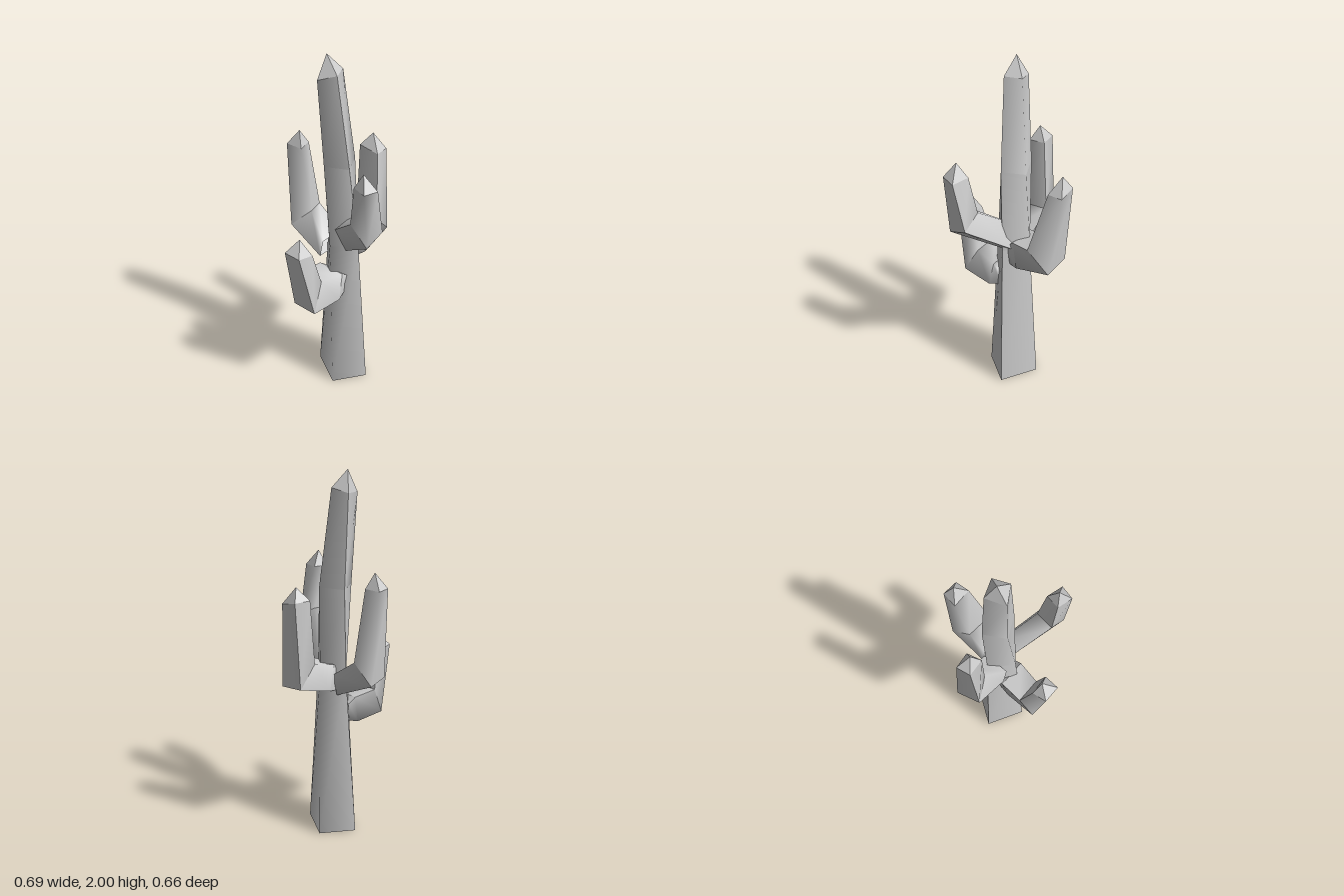
import * as THREE from 'three';

const material = new THREE.MeshStandardMaterial({ color: 0xcccccc, side: THREE.DoubleSide });

// Four-cornered stem lofted through rings, closed by a pointed flat-faced tip.
// Ring corners run anticlockwise about the growing direction; corners 0 and 2 stay sharp.
function stem(name, rings, tip, closeBase = false) {
  const group = new THREE.Group();
  group.name = name;
  const positions = [], index = [];
  const add = (p) => positions.push(...p) / 3 - 1;
  for (let k = 0; k < rings.length - 1; k++) {
    for (const start of [0, 2]) {
      const low = [], high = [];
      for (let j = 0; j < 3; j++) {
        low.push(add(rings[k][(start + j) % 4]));
        high.push(add(rings[k + 1][(start + j) % 4]));
      }
      for (let j = 0; j < 2; j++) {
        index.push(low[j], low[j + 1], high[j + 1], low[j], high[j + 1], high[j]);
      }
    }
  }
  // pointed tip
  const top = rings[rings.length - 1];
  for (let j = 0; j < 4; j++) index.push(add(top[j]), add(top[(j + 1) % 4]), add(tip));
  // underside
  if (closeBase) {
    const [a, b, c, d] = rings[0].map(add);
    index.push(a, c, b, a, d, c);
  }
  const geometry = new THREE.BufferGeometry();
  geometry.setAttribute('position', new THREE.Float32BufferAttribute(positions, 3));
  geometry.setIndex(index);
  geometry.computeVertexNormals();
  const mesh = new THREE.Mesh(geometry, material);
  mesh.name = name + 'Surface';
  group.add(mesh);
  return group;
}

export function createModel() {
  const cactus = new THREE.Group();
  cactus.name = 'cactus';

  // trunk: tapers, twists slightly and leans back
  cactus.add(stem('trunk', [
    [[0.055, 0, 0.155], [0.165, 0, -0.04], [0, 0, -0.155], [-0.11, 0, 0.04]],
    [[0.03, 0.93, 0.105], [0.125, 0.93, -0.01], [0.03, 0.93, -0.107], [-0.08, 0.93, 0.0]],
    [[-0.005, 1.4, 0.07], [0.11, 1.4, 0.01], [0.05, 1.4, -0.115], [-0.065, 1.4, -0.05]],
    [[-0.03, 1.91, 0.01], [0.055, 1.91, -0.025], [0.025, 1.89, -0.115], [-0.08, 1.88, -0.075]],
  ], [-0.015, 2, -0.07], true));

  // arms: root inside the trunk, elbow, shoulder, tip
  // ring order: inner, outer on one side, then outer, inner on the other
  cactus.add(stem('leftArm', [
    [[0.03, 0.95, 0.08], [0.06, 0.84, 0.08], [0.06, 0.84, -0.07], [0.03, 0.95, -0.07]],
    [[0.08, 0.99, 0.08], [0.11, 0.84, 0.09], [0.11, 0.85, -0.07], [0.08, 0.99, -0.07]],
    [[0.19, 1.01, 0.10], [0.31, 0.89, 0.08], [0.315, 0.91, -0.065], [0.2, 1.02, -0.05]],
    [[0.265, 1.36, 0.035], [0.345, 1.36, 0.03], [0.345, 1.38, -0.065], [0.257, 1.38, -0.08]],
  ], [0.305, 1.45, -0.03]));

  cactus.add(stem('rightArm', [
    [[-0.02, 0.74, -0.08], [-0.02, 0.64, -0.07], [-0.02, 0.64, 0.06], [-0.02, 0.74, 0.07]],
    [[-0.06, 0.77, -0.09], [-0.09, 0.615, -0.08], [-0.09, 0.615, 0.075], [-0.06, 0.77, 0.07]],
    [[-0.195, 0.78, -0.105], [-0.275, 0.62, -0.085], [-0.275, 0.62, 0.06], [-0.195, 0.78, 0.04]],
    [[-0.26, 0.985, -0.08], [-0.345, 1.0, -0.075], [-0.345, 1.0, 0.025], [-0.255, 0.985, 0.035]],
  ], [-0.28, 1.07, -0.03]));

  cactus.add(stem('frontArm', [
    [[-0.06, 1.04, 0.02], [-0.02, 0.9, 0.06], [0.08, 0.93, 0.06], [0.05, 1.05, 0.0]],
    [[-0.15, 1.2, 0.2], [-0.15, 1.1, 0.31], [-0.04, 1.15, 0.32], [-0.045, 1.21, 0.21]],
    [[-0.155, 1.43, 0.225], [-0.18, 1.43, 0.31], [-0.1, 1.425, 0.332], [-0.075, 1.43, 0.24]],
  ], [-0.13, 1.51, 0.265]));

  cactus.add(stem('backArm', [
    [[0.08, 0.93, -0.06], [0.075, 0.82, -0.085], [-0.065, 0.82, -0.085], [-0.065, 0.93, -0.06]],
    [[0.08, 1.04, -0.215], [0.06, 0.93, -0.32], [-0.07, 0.94, -0.29], [-0.02, 1.05, -0.185]],
    [[0.035, 1.43, -0.245], [0.025, 1.43, -0.333], [-0.052, 1.43, -0.32], [-0.045, 1.43, -0.225]],
  ], [-0.01, 1.51, -0.268]));

  return cactus;
}
